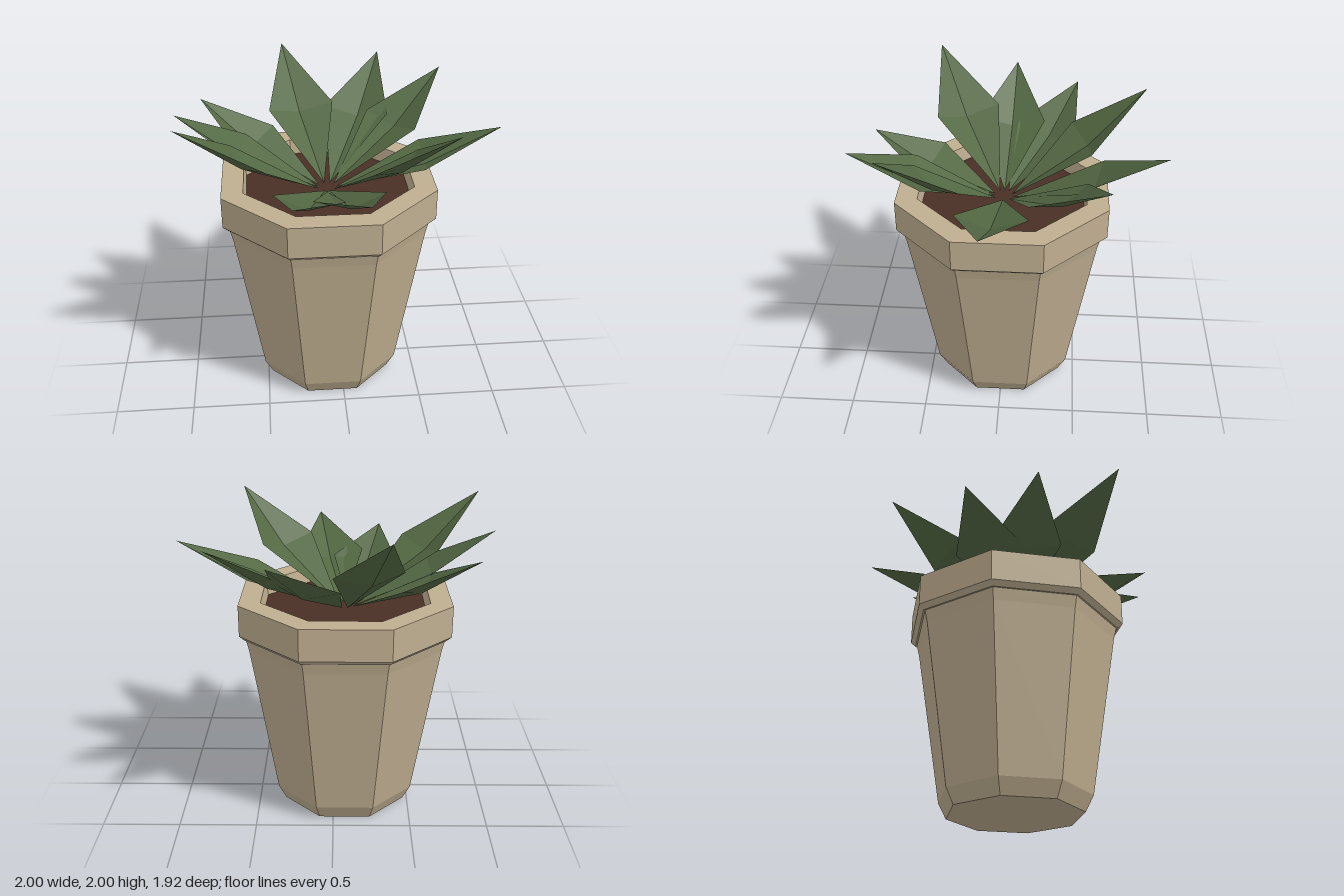
import * as THREE from 'three';

const CX = -0.075; // the pot stands slightly left of the leaf spread

export function createModel() {
  const model = new THREE.Group();
  model.name = 'pottedSucculent';

  const clay = new THREE.MeshStandardMaterial({ name: 'clay', color: 0xbfae90, flatShading: true });
  const earth = new THREE.MeshStandardMaterial({ name: 'soil', color: 0x4a2f26, flatShading: true });
  const green = new THREE.MeshStandardMaterial({
    name: 'leafGreen', color: 0x536843, flatShading: true, side: THREE.DoubleSide,
  });

  const add = (name, geometry, material) => {
    const mesh = new THREE.Mesh(geometry, material);
    mesh.name = name;
    model.add(mesh);
    return mesh;
  };

  // Octagonal pot: flat-to-centre distance and height, from the base over the rim to the inside
  const k = 1 / Math.cos(Math.PI / 8);
  const profile = [
    [0, 0], [0.397, 0], [0.445, 0.1], [0.603, 1.13], [0.62, 1.205],
    [0.63, 1.205], [0.66, 1.235], [0.66, 1.437], [0.525, 1.437], [0.5, 1.25],
  ].map(([r, y]) => new THREE.Vector2(r * k, y));
  const pot = add('pot', new THREE.LatheGeometry(profile, 8, Math.PI / 8).toNonIndexed(), clay);
  pot.position.x = CX;

  // Soil filling the inside of the rim
  const soil = add('soil', new THREE.CircleGeometry(0.512 * k, 8, Math.PI / 8), earth);
  soil.rotation.x = -Math.PI / 2;
  soil.position.set(CX, 1.34, 0);

  // A leaf is a kite folded along a sagging midrib
  const up = new THREE.Vector3(0, 1, 0);
  const leafGeometry = (tip) => {
    const base = new THREE.Vector3(tip.x - CX, 0, tip.z).setLength(0.055);
    base.add(new THREE.Vector3(CX, 1.345, 0));
    const dir = tip.clone().sub(base).normalize();
    const side = up.clone().cross(dir).normalize();
    const normal = dir.clone().cross(side);
    const middle = base.clone().lerp(tip, 0.53);
    const rib = middle.clone().addScaledVector(normal, -0.06);
    const [a, b] = [0.22, -0.22].map((w) =>
      middle.clone().addScaledVector(side, w).addScaledVector(normal, 0.01));
    return new THREE.BufferGeometry().setFromPoints([
      base, rib, a, rib, tip, a, base, b, rib, rib, b, tip,
    ]);
  };

  // Leaf tips around the rosette
  const tips = [
    [1.0, 1.75, 0.07], [0.62, 1.97, 0.67], [0.1, 1.72, 0.955], [-0.32, 1.66, 0.85],
    [-0.96, 1.98, 0.48], [-1.0, 1.85, -0.04], [-0.865, 1.78, -0.46],
    [-0.32, 2.0, -0.87], [0.35, 1.89, -0.965], [0.73, 1.89, -0.63],
  ];
  tips.forEach((t, i) => {
    const geometry = leafGeometry(new THREE.Vector3(...t));
    geometry.computeVertexNormals();
    add(`leaf${i + 1}`, geometry, green);
  });

  return model;
}
